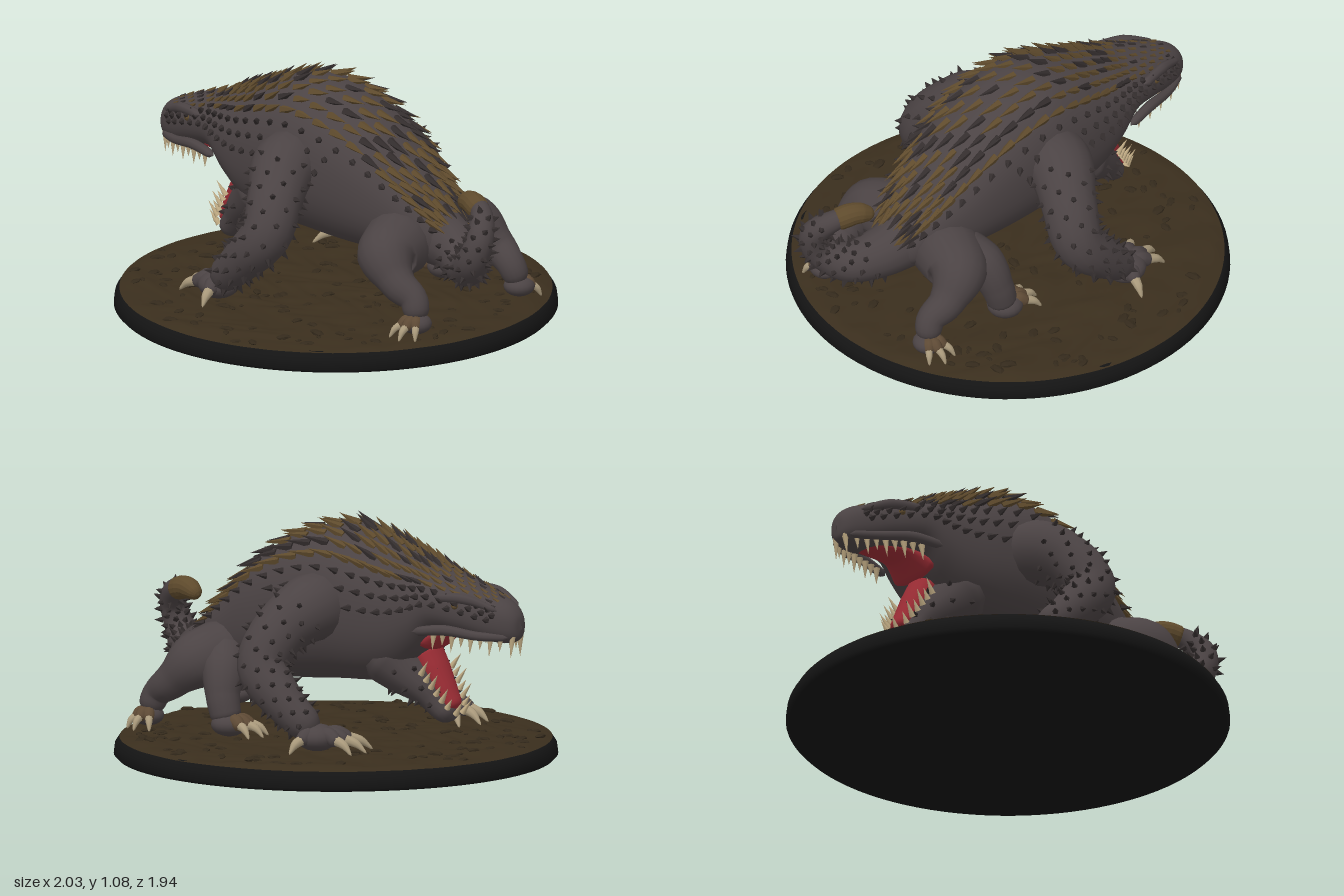
import * as THREE from 'three';
import { mergeGeometries, mergeVertices } from 'three/addons/utils/BufferGeometryUtils.js';
import { ParametricGeometry } from 'three/addons/geometries/ParametricGeometry.js';

const V = (x, y, z) => new THREE.Vector3(x, y, z);
const mat = (color, flatShading = false) =>
  new THREE.MeshStandardMaterial({ color, flatShading, side: THREE.DoubleSide });

export function createModel() {
  const model = new THREE.Group();
  const M = {
    hide: mat(0x4b4344), knob: mat(0x332d2d, true), spike: mat(0x5e4a2c, true), toe: mat(0x5e4a35),
    claw: mat(0xaa9a7c), tooth: mat(0xc0ab84), flesh: mat(0x9a2c34),
    soil: mat(0x3a2e1d), stone: mat(0x33291b, true), rim: mat(0x141414),
  };
  let seed = 7;
  const rnd = () => (seed = (seed * 16807) % 2147483647) / 2147483647;
  const add = (name, geo, m, parent = model) => {
    const mesh = new THREE.Mesh(geo, m);
    mesh.name = name;
    parent.add(mesh);
    return mesh;
  };
  const smooth = (geo) => {
    geo.deleteAttribute('uv');
    geo.deleteAttribute('normal');
    const g = mergeVertices(geo, 1e-5);
    g.computeVertexNormals();
    return g;
  };

  // Small cone standing on a point
  const cone = (p, dir, len, r, sides = 5) => {
    const g = new THREE.ConeGeometry(r, len, sides).translate(0, len / 2, 0);
    g.applyQuaternion(new THREE.Quaternion().setFromUnitVectors(V(0, 1, 0), dir.clone().normalize()));
    return g.translate(p.x, p.y, p.z);
  };

  // Tapered tube with rounded ends
  const radiusAt = (radii, u) => {
    const f = u * (radii.length - 1), i = Math.min(Math.floor(f), radii.length - 2);
    return THREE.MathUtils.lerp(radii[i], radii[i + 1], f - i);
  };
  const limbGeo = (pts, radii, { seg = 32, sides = 16, zs = 1, cap = 0.1 } = {}) => {
    const curve = new THREE.CatmullRomCurve3(pts.map((p) => V(...p)));
    const g = new THREE.TubeGeometry(curve, seg, 1, sides);
    const pos = g.attributes.position, v = V(0, 0, 0);
    for (let i = 0; i <= seg; i++) {
      const u = i / seg, c = curve.getPointAt(u), e = Math.min(u, 1 - u) / cap;
      const r = radiusAt(radii, u) * (e < 1 ? Math.sqrt(Math.max(1 - (1 - e) ** 2, 0.0004)) : 1);
      for (let j = 0; j <= sides; j++) {
        const k = i * (sides + 1) + j;
        v.fromBufferAttribute(pos, k).sub(c).multiplyScalar(r);
        pos.setXYZ(k, c.x + v.x, c.y + v.y, c.z + v.z * zs);
      }
    }
    return smooth(g);
  };
  const knobs = [], spikes = [];
  const scatter = (pts, radii, count, u0, u1, zs = 1) => {
    const curve = new THREE.CatmullRomCurve3(pts.map((p) => V(...p)));
    for (let i = 0; i < count; i++) {
      const u = u0 + (u1 - u0) * (i + 0.5) / count, a = i * 2.4;
      const t = curve.getTangentAt(u), side = V(t.y, -t.x, 0.3).cross(t).normalize();
      const n = side.applyAxisAngle(t, a);
      const off = n.clone().multiplyScalar(radiusAt(radii, u) * 0.96);
      off.z *= zs;
      knobs.push(cone(curve.getPointAt(u).add(off), n.addScaledVector(t, 0.3), 0.028 + rnd() * 0.012, 0.015));
    }
  };

  // Base: turned rim, uneven soil and scattered stones
  const base = new THREE.Group();
  base.name = 'base';
  base.position.x = -0.03;
  model.add(base);
  add('baseRim', new THREE.LatheGeometry([[0, 0.005], [0.955, 0.005], [0.97, 0.02], [0.965, 0.06],
    [0.945, 0.09], [0.92, 0.092]].map((p) => new THREE.Vector2(...p)), 96), M.rim, base);
  const height = (x, z) => 0.103 + 0.008 * Math.sin(9 * x + 3 * Math.sin(7 * z)) * Math.cos(11 * z + 2 * x)
    + 0.005 * Math.sin(31 * x + 4 * Math.sin(17 * z)) * Math.sin(27 * z);
  const soil = new THREE.RingGeometry(0.001, 0.945, 120, 44).rotateX(-Math.PI / 2);
  const sp = soil.attributes.position;
  for (let i = 0; i < sp.count; i++) {
    const x = sp.getX(i), z = sp.getZ(i), edge = Math.min(1, (0.95 - Math.hypot(x, z)) / 0.05);
    sp.setY(i, THREE.MathUtils.lerp(0.09, height(x, z), edge));
  }
  add('soil', smooth(soil), M.soil, base);
  const stones = [];
  for (let i = 0; i < 170; i++) {
    const r = 0.9 * Math.sqrt(rnd()), a = rnd() * 6.283, s = 0.01 + rnd() * 0.018;
    const x = r * Math.cos(a), z = r * Math.sin(a);
    stones.push(new THREE.IcosahedronGeometry(s, 0).scale(1.5, 0.5, 0.9).rotateY(rnd() * 6).translate(x, height(x, z), z));
  }
  add('stones', mergeGeometries(stones), M.stone, base);

  // Body and upper head: x, top, bottom, half width
  const sections = [
    [-1.0, 0.67, 0.65, 0.002], [-0.99, 0.72, 0.61, 0.045], [-0.95, 0.765, 0.59, 0.08], [-0.87, 0.8, 0.59, 0.115],
    [-0.75, 0.84, 0.61, 0.155], [-0.62, 0.88, 0.61, 0.195], [-0.53, 0.92, 0.5, 0.22], [-0.42, 0.96, 0.41, 0.245],
    [-0.28, 1.01, 0.37, 0.27], [-0.1, 1.045, 0.36, 0.285], [0.1, 1.0, 0.345, 0.28], [0.28, 0.9, 0.34, 0.255],
    [0.42, 0.77, 0.345, 0.215], [0.54, 0.65, 0.35, 0.17], [0.63, 0.53, 0.37, 0.11], [0.67, 0.46, 0.44, 0.002]];
  const profile = new THREE.CatmullRomCurve3(sections.map((s) => V(s[0], s[1], s[2])), false, 'catmullrom');
  const widths = new THREE.CatmullRomCurve3(sections.map((s) => V(s[3], 0, 0)), false, 'catmullrom');
  const boxy = (k) => Math.sign(k) * Math.abs(k) ** 0.88;
  const surf = (t, a) => {
    const p = profile.getPoint(t), w = widths.getPoint(t).x;
    return V(p.x, (p.y + p.z) / 2 + (p.y - p.z) / 2 * boxy(Math.sin(a)), w * boxy(Math.cos(a)));
  };
  add('body', smooth(new ParametricGeometry((u, v, out) => out.copy(surf(u, v * Math.PI * 2)), 72, 40)), M.hide);

  // Swept-back quills on the back, knobs down the flanks
  for (let row = -7; row <= 7; row++) {
    const a = Math.PI / 2 + row * 0.215, flank = Math.abs(row) > 4;
    for (let k = 0; k < 24; k++) {
      const t = 0.17 + (k + (row & 1 ? 0.5 : 0)) / 24 * 0.76;
      const p = surf(t, a), along = surf(t + 0.02, a).sub(p).normalize();
      if (flank && p.x > 0.15 && Math.abs(row) > 5) continue;
      const n = along.clone().cross(surf(t, a + 0.05).sub(p)).normalize();
      const size = THREE.MathUtils.smoothstep(p.x, -0.95, -0.25) * (0.85 + rnd() * 0.3);
      if (flank) knobs.push(cone(p, n.addScaledVector(along, 0.6), 0.03 + 0.02 * size, 0.017));
      else (rnd() < 0.7 ? spikes : knobs).push(
        cone(p.addScaledVector(n, -0.008), along.addScaledVector(n, 0.42), 0.035 + 0.085 * size, 0.012 + 0.009 * size));
    }
  }

  // Gaping lower jaw, tongue, palate and teeth
  const jaw = [[-0.3, 0.55, 0], [-0.41, 0.45, 0], [-0.52, 0.36, 0], [-0.6, 0.27, 0], [-0.65, 0.22, 0]];
  const jawR = [0.15, 0.15, 0.11, 0.07, 0.045];
  add('lowerJaw', limbGeo(jaw, jawR, { zs: 1.4 }), M.hide);
  scatter(jaw, jawR, 26, 0.3, 0.8, 1.4);
  add('tongue', limbGeo([[-0.5, 0.53, 0], [-0.56, 0.43, 0], [-0.61, 0.345, 0], [-0.66, 0.27, 0]],
    [0.06, 0.055, 0.045, 0.03], { zs: 1.5 }), M.flesh);
  add('palate', limbGeo([[-0.94, 0.61, 0], [-0.8, 0.618, 0], [-0.65, 0.625, 0], [-0.52, 0.56, 0]],
    [0.02, 0.025, 0.035, 0.06], { zs: 2.6 }), M.flesh);
  const teeth = [];
  for (const s of [-1, 1]) {
    for (let i = 0; i < 9; i++) {
      const f = i / 8;
      teeth.push(cone(V(-0.975 + 0.33 * f, 0.625, s * (0.03 + 0.125 * f ** 0.7)), V(0.05, -1, s * 0.08),
        (i % 2 ? 0.075 : 0.1) - 0.025 * f, 0.016, 7));
    }
    for (let i = 0; i < 7; i++) {
      const f = i / 6;
      teeth.push(cone(V(-0.675 + 0.12 * f, 0.25 + 0.18 * f, s * (0.025 + 0.095 * Math.sqrt(f))), V(-0.55, 0.8, s * 0.15),
        i % 2 ? 0.055 : 0.08, 0.014, 7));
    }
    // Brow and eye
    add('browRidge', limbGeo([[-0.93, 0.74, s * 0.085], [-0.8, 0.785, s * 0.13], [-0.66, 0.79, s * 0.175]],
      [0.012, 0.024, 0.02], { sides: 8, seg: 16 }), M.hide);
    add('eye', new THREE.SphereGeometry(0.016, 12, 8).translate(-0.75, 0.755, s * 0.148), M.spike);
    add('lip', limbGeo([[-0.97, 0.62, s * 0.05], [-0.85, 0.625, s * 0.115], [-0.7, 0.645, s * 0.165], [-0.56, 0.63, s * 0.2]],
      [0.018, 0.02, 0.024, 0.02], { sides: 8, seg: 16 }), M.hide);
  }
  add('teeth', mergeGeometries(teeth), M.tooth);

  // Foot pad with toes and hooked claws
  const foot = (name, c, tips, r, toeMat) => {
    const g = new THREE.Group();
    g.name = name;
    model.add(g);
    add('pad', new THREE.SphereGeometry(r, 18, 12).scale(1.15, 0.75, 1.15).translate(...c), M.hide, g);
    for (const tip of tips) {
      const a = V(...c), b = V(...tip), at = (f, y) => { const p = a.clone().lerp(b, f); return [p.x, p.y + y, p.z]; };
      add('toe', limbGeo([at(0.1, 0.01), at(0.35, 0.035), at(0.62, 0.02)],
        [r * 0.48, r * 0.46, r * 0.36], { sides: 10, seg: 16, cap: 0.2 }), toeMat, g);
      add('claw', limbGeo([at(0.5, 0.03), at(0.78, 0.028), at(1, 0)],
        [r * 0.32, r * 0.24, 0.004], { sides: 8, seg: 12, cap: 0.05 }), M.claw, g);
    }
  };
  for (const s of [1, -1]) {
    const flip = (list) => list.map(([x, y, z]) => [x, y, z * s]);
    const side = s > 0 ? 'left' : 'right';
    const arm = flip([[-0.1, 0.7, 0.14], [-0.08, 0.7, 0.29], [-0.01, 0.6, 0.44], [0.01, 0.47, 0.52],
      [-0.1, 0.34, 0.54], [-0.2, 0.25, 0.53], [-0.27, 0.19, 0.51]]);
    const armR = [0.15, 0.15, 0.125, 0.115, 0.105, 0.085, 0.07];
    add(side + 'FrontLeg', limbGeo(arm, armR), M.hide);
    scatter(arm, armR, 95, 0.22, 0.93);
    foot(side + 'FrontFoot', [-0.27, 0.18, 0.51 * s],
      flip([[-0.45, 0.12, 0.34], [-0.49, 0.12, 0.45], [-0.47, 0.12, 0.54], [-0.23, 0.12, 0.67]]), 0.08, M.hide);
    const leg = flip([[0.44, 0.43, 0.08], [0.47, 0.43, 0.2], [0.51, 0.41, 0.3], [0.61, 0.32, 0.34],
      [0.69, 0.26, 0.33], [0.72, 0.17, 0.35]]);
    add(side + 'HindLeg', limbGeo(leg, [0.15, 0.15, 0.13, 0.085, 0.065, 0.055]), M.hide);
    foot(side + 'HindFoot', [0.72, 0.165, 0.35 * s],
      flip([[0.65, 0.11, 0.45], [0.72, 0.11, 0.47], [0.78, 0.11, 0.43]]), 0.06, M.toe);
  }
  // Forward-stepping leg under the right flank
  add('rightMiddleLeg', limbGeo([[0.42, 0.44, -0.2], [0.36, 0.38, -0.3], [0.33, 0.28, -0.35], [0.3, 0.17, -0.36]],
    [0.11, 0.1, 0.075, 0.065]), M.hide);
  foot('rightMiddleFoot', [0.29, 0.165, -0.36],
    [[0.13, 0.12, -0.29], [0.11, 0.12, -0.36], [0.14, 0.12, -0.43]], 0.07, M.toe);

  // Curled tail
  const tail = [[0.5, 0.47, 0], [0.66, 0.42, 0.02], [0.8, 0.38, 0.1], [0.9, 0.45, 0.18],
    [0.935, 0.56, 0.17], [0.88, 0.645, 0.1], [0.79, 0.665, 0.06], [0.71, 0.64, 0.03]];
  const tailR = [0.15, 0.12, 0.1, 0.08, 0.065, 0.055, 0.04, 0.022];
  add('tail', limbGeo(tail, tailR, { seg: 48, cap: 0.05 }), M.hide);
  add('tailTip', limbGeo(tail.slice(5), [0.05, 0.052, 0.046, 0.026], { cap: 0.15 }), M.spike);
  scatter(tail, tailR, 80, 0.22, 0.76);

  add('backQuills', mergeGeometries(spikes), M.spike);
  add('hideKnobs', mergeGeometries(knobs), M.knob);
  return model;
}
